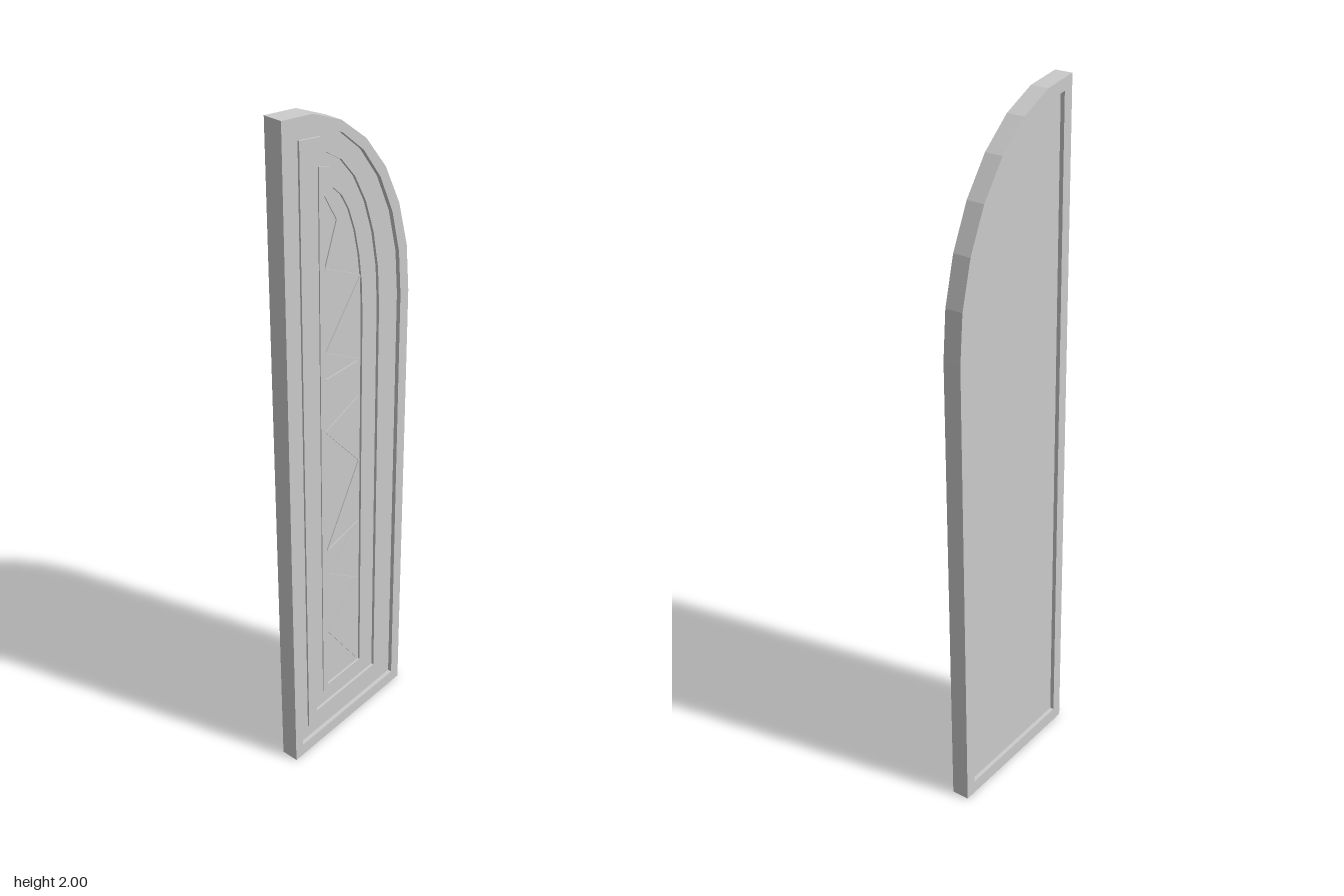
import * as THREE from 'three';

const SPRING = 1.38; // height where the arch begins
const STEPS = 7;

// Half-arch outline, counterclockwise from the bottom left corner
function outline([l, r, b, t]) {
  const pts = [new THREE.Vector2(l, b), new THREE.Vector2(r, b)];
  for (let i = 0; i <= STEPS; i++) {
    const a = (i / STEPS) * Math.PI / 2;
    pts.push(new THREE.Vector2(l + (r - l) * Math.cos(a), SPRING + (t - SPRING) * Math.sin(a)));
  }
  return pts;
}

// Skin through a list of [outline, z] loops
function loft(loops) {
  const pos = [];
  for (let k = 0; k < loops.length - 1; k++) {
    const [A, za] = loops[k], [B, zb] = loops[k + 1];
    const a = outline(A), b = outline(B);
    a.forEach((p, i) => {
      const j = (i + 1) % a.length, q = a[j], u = b[i], v = b[j];
      pos.push(p.x, p.y, za, q.x, q.y, za, v.x, v.y, zb);
      pos.push(p.x, p.y, za, v.x, v.y, zb, u.x, u.y, zb);
    });
  }
  const g = new THREE.BufferGeometry();
  g.setAttribute('position', new THREE.Float32BufferAttribute(pos, 3));
  g.computeVertexNormals();
  return g;
}

export function createModel() {
  const group = new THREE.Group();
  const material = new THREE.MeshStandardMaterial({ color: 0xcccccc, flatShading: true });
  const add = (name, geometry, parent = group) => {
    const mesh = new THREE.Mesh(geometry, material);
    mesh.name = name;
    parent.add(mesh);
    return mesh;
  };

  // Nested outlines: left, right, bottom, top
  const outer = [-0.238, 0.238, 0, 2];
  const backRim = [-0.205, 0.203, 0.04, 1.962];
  const ring1 = [-0.208, 0.205, 0.04, 1.965];
  const ring2 = [-0.172, 0.162, 0.085, 1.93];
  const ring3 = [-0.137, 0.125, 0.122, 1.885];
  const ring4 = [-0.1, 0.087, 0.17, 1.84];
  const ring5 = [-0.08, 0.064, 0.185, 1.78];
  const zBack = -0.026, zFront = 0.026, zBackPanel = -0.014;
  const zGroove = 0.014, zMould = 0.019, zField = 0.011, zPanel = 0.008;

  // Outer frame with the recess walls on both sides
  add('frame', loft([
    [backRim, zBackPanel], [backRim, zBack], [outer, zBack],
    [outer, zFront], [ring1, zFront], [ring1, zGroove],
  ]));

  // Stepped mouldings on the front
  add('mouldings', loft([
    [ring1, zGroove], [ring2, zGroove], [ring2, zMould], [ring3, zMould],
    [ring3, zField], [ring4, zField], [ring4, zGroove], [ring5, zGroove], [ring5, zPanel],
  ]));

  // Flat panels closing the front and back
  const front = add('frontPanel', new THREE.ShapeGeometry(new THREE.Shape(outline(ring5))));
  front.position.z = zPanel;
  const back = add('backPanel', new THREE.ShapeGeometry(
    new THREE.Shape(outline(backRim).map((p) => new THREE.Vector2(-p.x, p.y)))));
  back.rotation.y = Math.PI;
  back.position.z = zBackPanel;

  // Thin zigzag ribs across the front panel
  const ribs = new THREE.Group();
  ribs.name = 'zigzagRibs';
  group.add(ribs);
  const L = -0.075, R = 0.06;
  const zigzag = [
    [L, 1.76], [-0.03, 1.68], [L, 1.56], [R, 1.49], [L, 1.32], [R, 1.24], [L, 1.24], [R, 1.13],
    [L, 1.08], [R, 0.92], [L, 0.68], [R, 0.71], [L, 0.6], [R, 0.5], [L, 0.39], [R, 0.19],
  ];
  for (let i = 0; i < zigzag.length - 1; i++) {
    const [x0, y0] = zigzag[i], [x1, y1] = zigzag[i + 1];
    const rib = add('rib', new THREE.BoxGeometry(Math.hypot(x1 - x0, y1 - y0), 0.005, 0.004), ribs);
    rib.position.set((x0 + x1) / 2, (y0 + y1) / 2, zPanel + 0.001);
    rib.rotation.z = Math.atan2(y1 - y0, x1 - x0);
  }
  return group;
}
